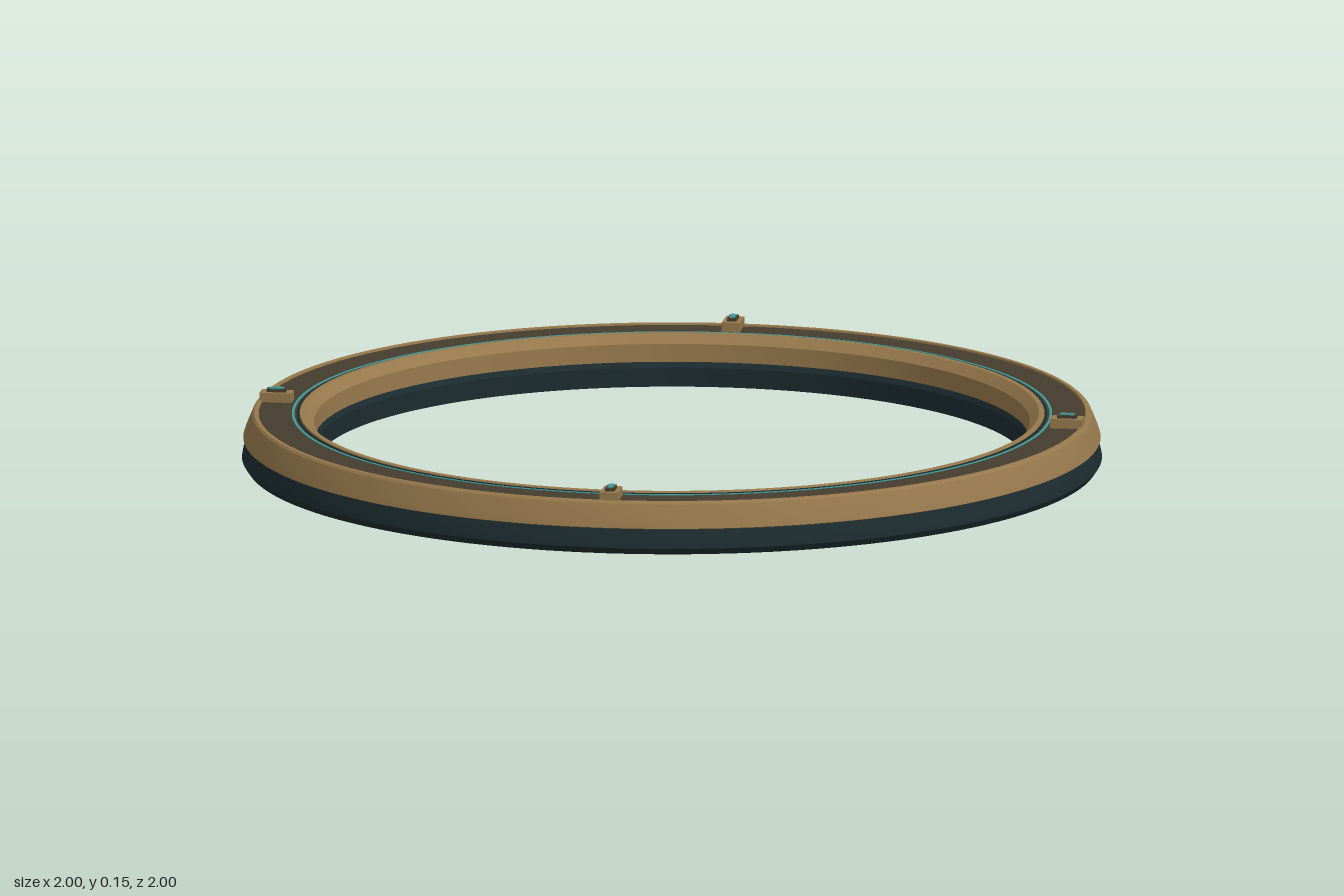
import * as THREE from 'three';
import { toCreasedNormals } from 'three/addons/utils/BufferGeometryUtils.js';

const SEGMENTS = 128;

function material(name, color) {
  const m = new THREE.MeshStandardMaterial({ color });
  m.name = name;
  return m;
}

// Closed ring: profile of [radius, height] pairs, up the outside, over the top and down the inside
function ring(name, profile, mat) {
  const points = [...profile, profile[0]].map(([r, y]) => new THREE.Vector2(r, y));
  const geometry = toCreasedNormals(new THREE.LatheGeometry(points, SEGMENTS), 0.25);
  const mesh = new THREE.Mesh(geometry, mat);
  mesh.name = name;
  return mesh;
}

function box(name, size, y, mat) {
  const mesh = new THREE.Mesh(new THREE.BoxGeometry(...size), mat);
  mesh.position.y = y;
  mesh.name = name;
  return mesh;
}

export function createModel() {
  const bronze = material('bronze', 0x96784c);
  const deckBrown = material('dark brown', 0x453d2e);
  const darkTeal = material('dark teal', 0x1c2b2f);
  const glow = material('teal', 0x3f9a9a);

  const model = new THREE.Group();
  model.name = 'ringFrame';

  // Dark foot with chamfered outer edges
  model.add(ring('base', [
    [0.99, 0], [1, 0.015], [0.997, 0.03], [0.985, 0.062], [0.835, 0.062], [0.825, 0.045], [0.825, 0],
  ], darkTeal));

  // Sloped outer bronze band
  model.add(ring('outerBand', [
    [0.985, 0.058], [0.997, 0.062], [0.993, 0.075], [0.976, 0.116], [0.971, 0.121],
    [0.962, 0.121], [0.96, 0.114], [0.95, 0.058],
  ], bronze));

  // Bevelled inner bronze band
  model.add(ring('innerBand', [
    [0.88, 0.058], [0.868, 0.116], [0.865, 0.121], [0.853, 0.121], [0.832, 0.1], [0.83, 0.058],
  ], bronze));

  // Flat top deck between the bands
  model.add(ring('deck', [[0.968, 0.06], [0.968, 0.117], [0.862, 0.117], [0.862, 0.06]], deckBrown));

  // Thin inlays on the deck
  model.add(ring('lightLine', [[0.884, 0.116], [0.884, 0.1185], [0.878, 0.1185], [0.878, 0.116]], glow));
  model.add(ring('darkLine', [[0.873, 0.116], [0.873, 0.1185], [0.866, 0.1185], [0.866, 0.116]], darkTeal));

  // Four radial clamps on the diagonals
  for (let i = 0; i < 4; i++) {
    const angle = Math.PI / 4 + i * Math.PI / 2;
    const clamp = new THREE.Group();
    clamp.name = 'clamp' + (i + 1);
    clamp.add(
      box('clampPlate', [0.042, 0.022, 0.075], 0.128, bronze),
      box('clampInset', [0.022, 0.008, 0.045], 0.142, deckBrown),
      box('clampLight', [0.012, 0.004, 0.034], 0.147, glow),
    );
    clamp.position.set(0.93 * Math.sin(angle), 0, 0.93 * Math.cos(angle));
    clamp.rotation.y = angle;
    model.add(clamp);
  }

  return model;
}
